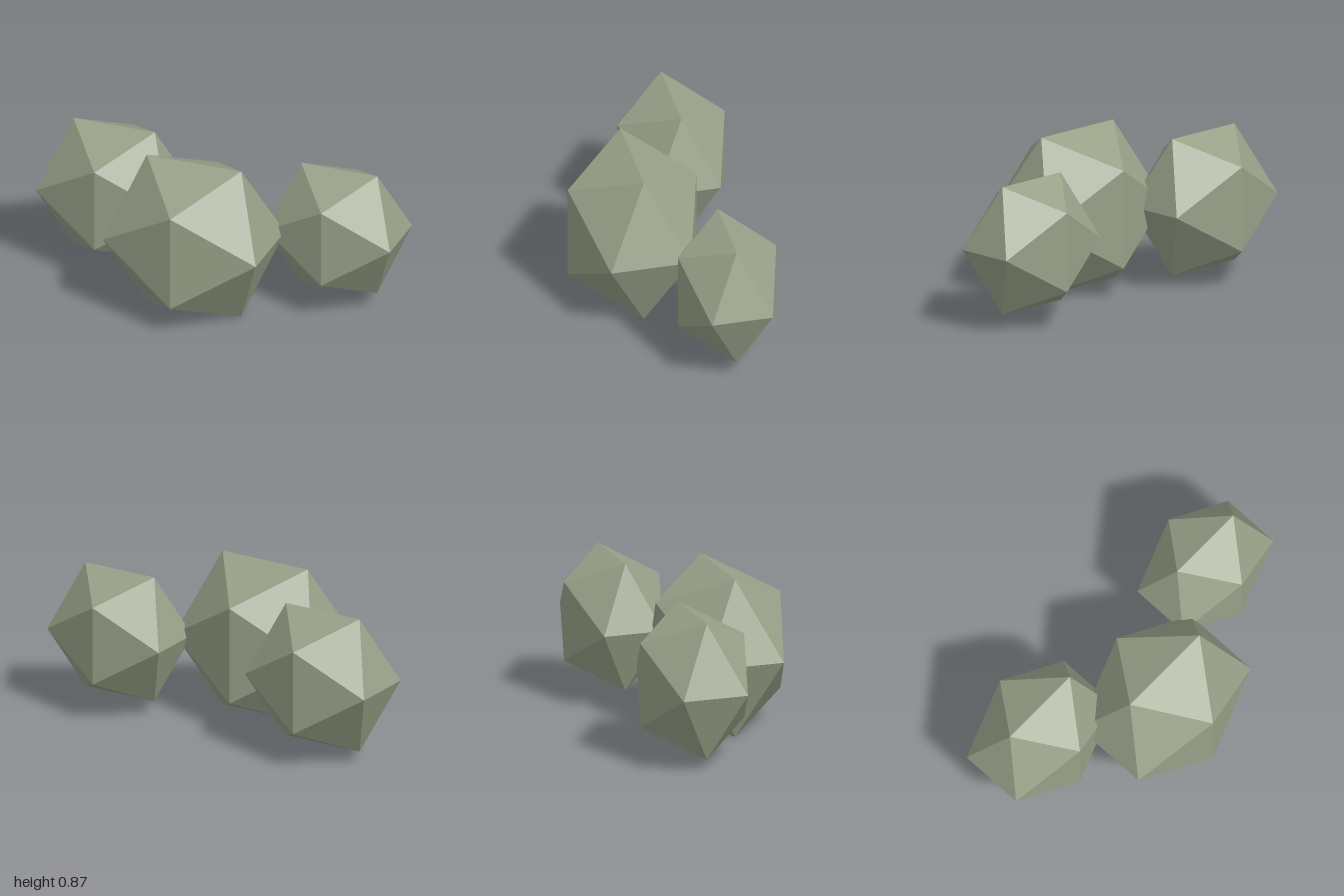
import * as THREE from 'three';

export function createModel() {
  const model = new THREE.Group();
  model.name = 'bushCluster';

  const sage = new THREE.MeshStandardMaterial({ color: 0x98a088 });
  sage.name = 'sageGreen';
  sage.flatShading = true;

  // Distance of an icosahedron's outermost corner along each axis, per unit radius
  const reach = 0.8507;
  const ball = new THREE.IcosahedronGeometry(1 / reach, 0);

  // Faceted clump, given by its centre and half extents
  function addClump(name, centre, half) {
    const mesh = new THREE.Mesh(ball, sage);
    mesh.name = name;
    mesh.position.set(...centre);
    mesh.scale.set(...half);
    model.add(mesh);
  }

  addClump('middleClump', [-0.038, 0.434, 0.147], [0.433, 0.433, 0.35]);
  addClump('rightClump', [-0.626, 0.436, -0.206], [0.374, 0.373, 0.291]);
  addClump('leftClump', [0.649, 0.436, -0.206], [0.35, 0.349, 0.267]);

  return model;
}
